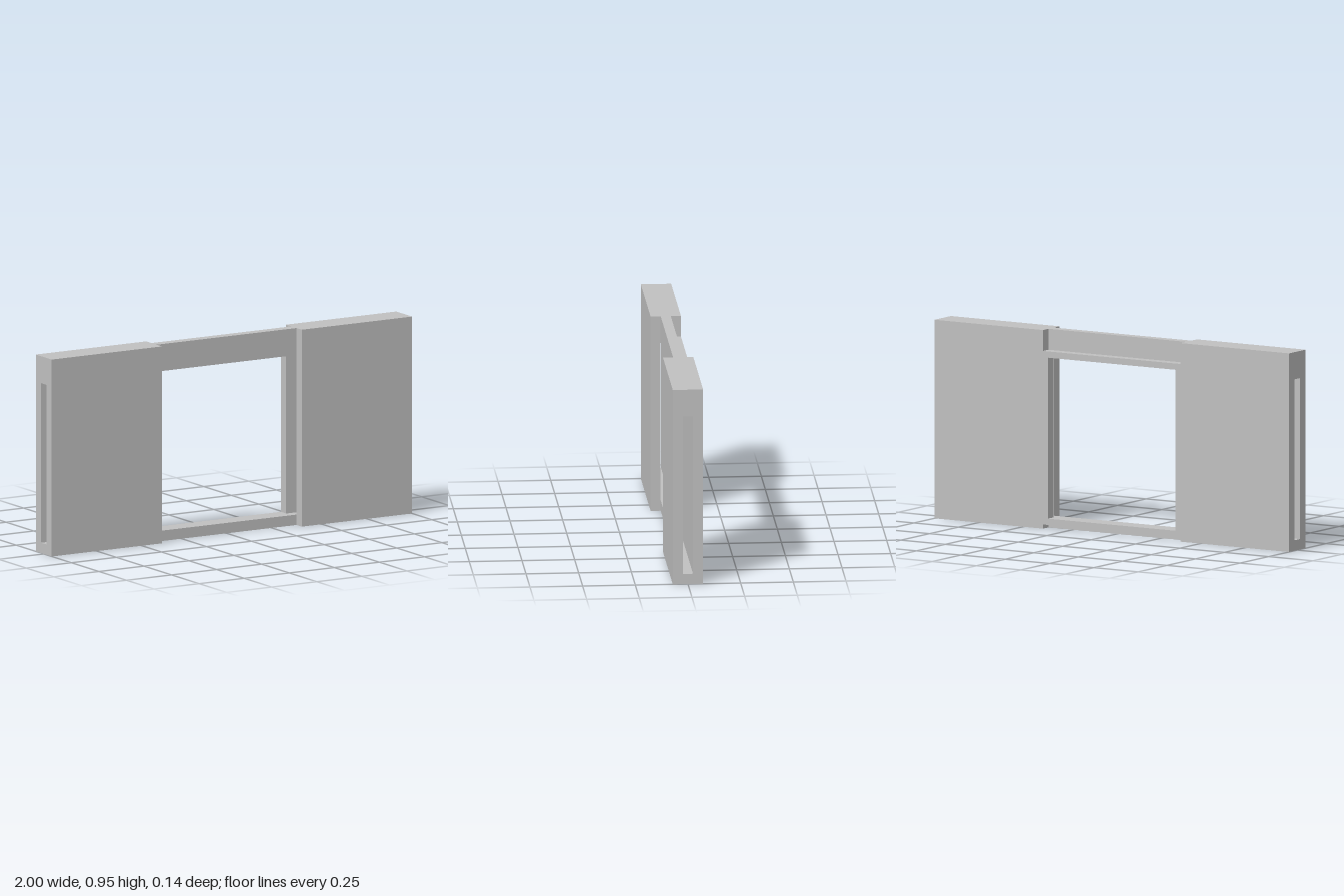
import * as THREE from 'three';

const HEIGHT = 0.95;
const WALL_Z = 0.072;   // half depth of the side pockets
const SLOT_Z = 0.024;   // half depth of the sliding slot and of the bars
const SILL_Y = 0.05, HEAD_Y = 0.82;
const INNER_X = 0.388, OPEN_X = 0.36, LIP = 0.03;

function rect(Path, x0, x1, y0, y1) {
  const p = new Path();
  p.moveTo(x0, y0);
  p.lineTo(x1, y0);
  p.lineTo(x1, y1);
  p.lineTo(x0, y1);
  p.closePath();
  return p;
}

// Rectangular outline with a rectangular hole, extruded from z = 0
function hollowSlab(outer, hole, depth) {
  const shape = rect(THREE.Shape, ...outer);
  shape.holes.push(rect(THREE.Path, ...hole));
  return new THREE.ExtrudeGeometry(shape, { depth, bevelEnabled: false });
}

export function createModel() {
  const model = new THREE.Group();
  model.name = 'pocketDoorFrame';
  const grey = new THREE.MeshStandardMaterial({ color: 0xc0c0c0 });
  grey.name = 'light grey';

  const add = (name, geometry) => {
    const mesh = new THREE.Mesh(geometry, grey);
    mesh.name = name;
    model.add(mesh);
    return mesh;
  };

  // Side pockets, each with a slot running right through along x
  for (const [name, x] of [['leftPocket', INNER_X], ['rightPocket', -1]]) {
    const geometry = hollowSlab(
      [-WALL_Z, WALL_Z, 0, HEIGHT], [-SLOT_Z, SLOT_Z, SILL_Y, HEAD_Y], 1 - INNER_X);
    geometry.rotateY(Math.PI / 2);
    add(name, geometry).position.x = x;
  }

  // Lintel and sill bridging the pockets
  for (const [name, y0, y1] of [['lintel', HEAD_Y, HEIGHT], ['sill', 0, SILL_Y]]) {
    add(name, new THREE.BoxGeometry(2 * INNER_X, y1 - y0, 2 * SLOT_Z))
      .position.y = (y0 + y1) / 2;
  }

  // Raised casing around the opening at the back
  add('backCasing', hollowSlab(
    [-INNER_X, INNER_X, SILL_Y - LIP, HEAD_Y + LIP],
    [-OPEN_X, OPEN_X, SILL_Y, HEAD_Y],
    WALL_Z - SLOT_Z)).position.z = -WALL_Z;

  return model;
}
